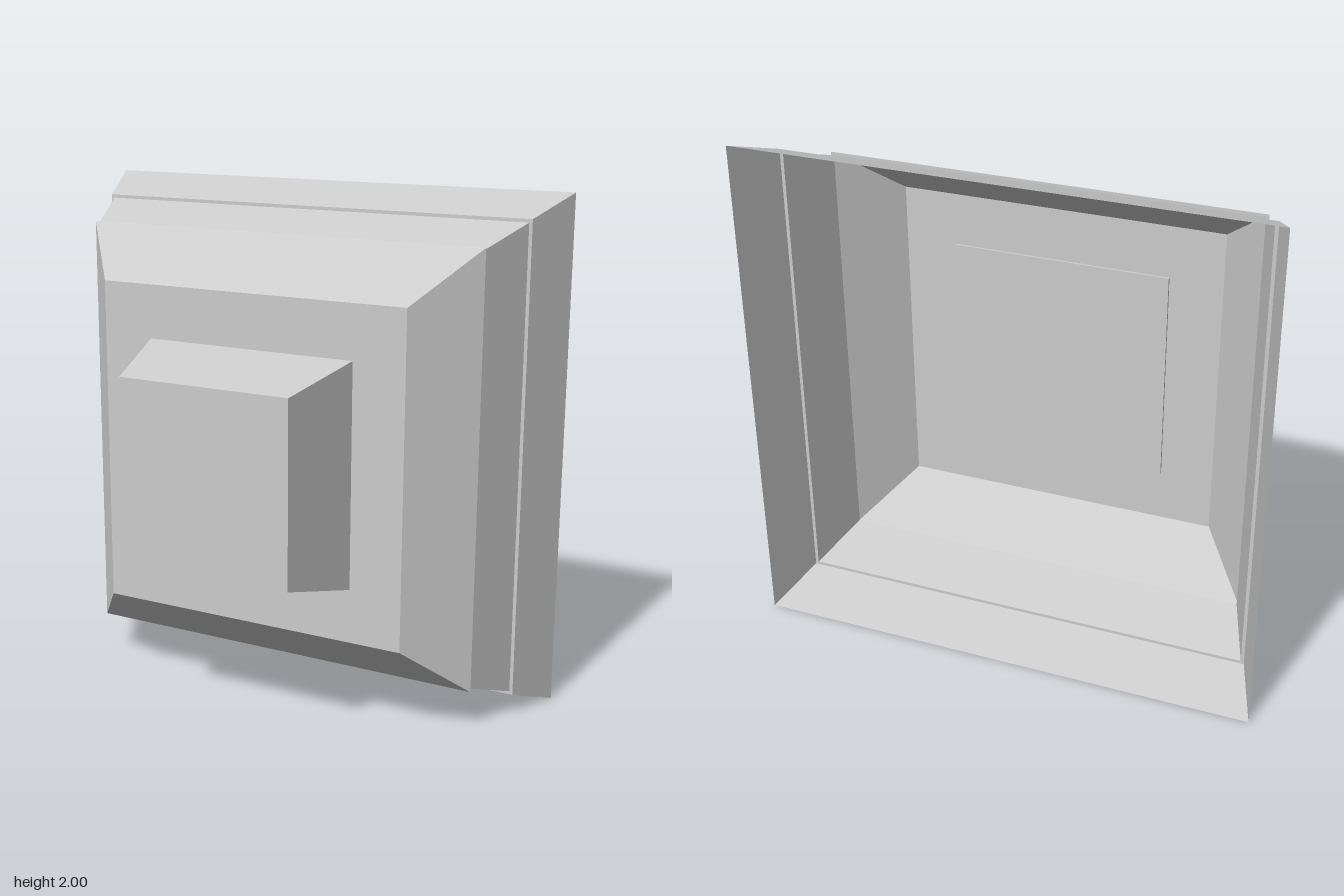
import * as THREE from 'three';

const material = new THREE.MeshStandardMaterial({
  color: 0xcccccc, flatShading: true, side: THREE.DoubleSide,
});

// Square-section solid along z from [halfWidth, z] pairs, listed back to front
function squareProfile(name, pairs) {
  const points = pairs.map(([half, z]) => new THREE.Vector2(half * Math.SQRT2, z));
  const geometry = new THREE.LatheGeometry(points, 4, Math.PI / 4).toNonIndexed();
  geometry.rotateX(Math.PI / 2);
  geometry.computeVertexNormals();
  const mesh = new THREE.Mesh(geometry, material);
  mesh.name = name;
  mesh.position.y = 1;
  return mesh;
}

export function createModel() {
  const group = new THREE.Group();
  group.name = 'steppedPanel';

  // Thin stepped shell, open at the back, closed by a flat front wall
  group.add(squareProfile('steppedShell', [
    [1, -0.5], [0.92, -0.278],
    [0.907, -0.278], [0.826, -0.048],
    [0.838, -0.048], [0.642, 0.172],
    [0, 0.172],
  ]));

  // Tapered block; its back plate stands just proud of the wall's inner face
  group.add(squareProfile('centreBlock', [
    [0, 0.162], [0.433, 0.162], [0.433, 0.172], [0.353, 0.5], [0, 0.5],
  ]));

  return group;
}
